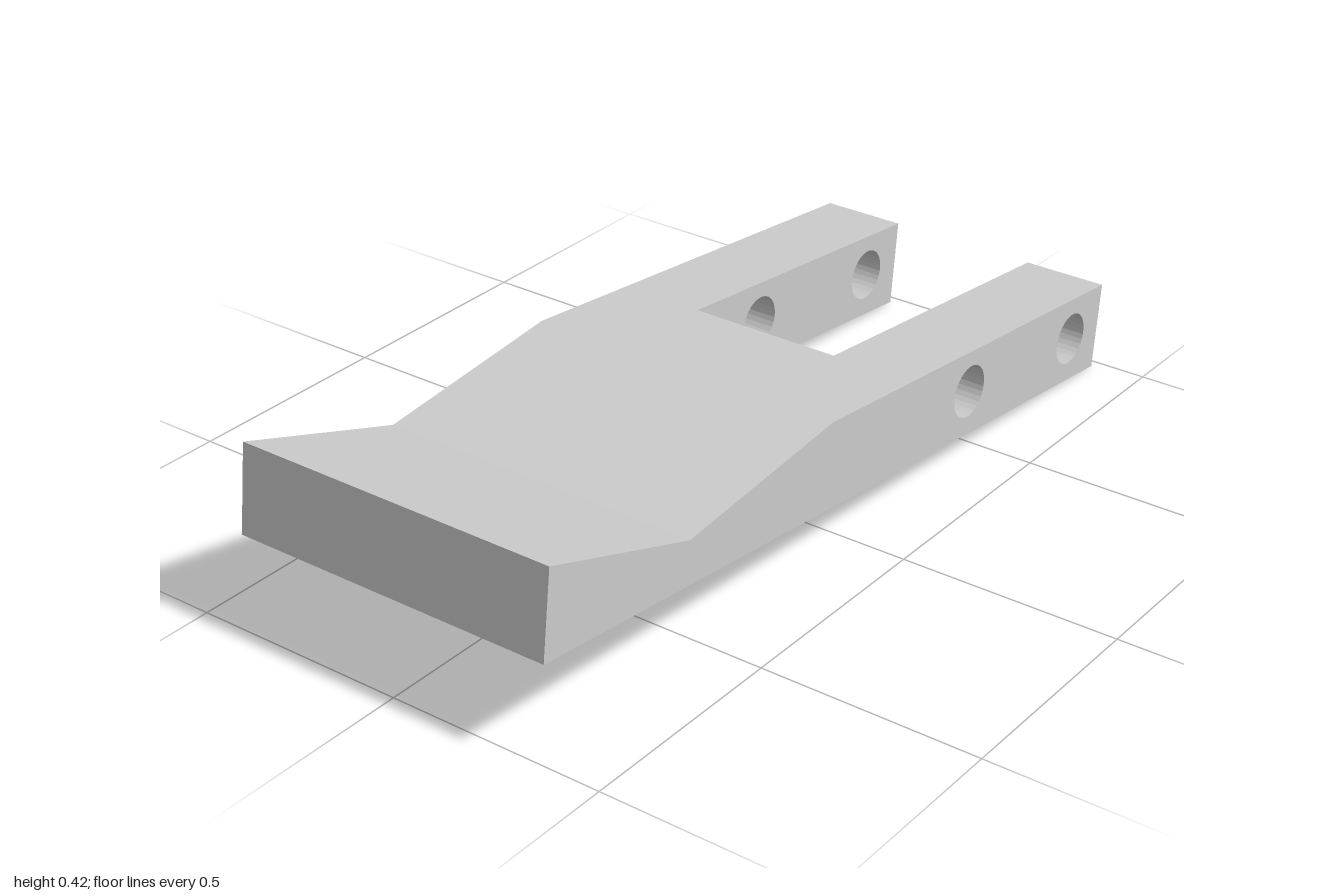
import * as THREE from 'three';

const P = (x, y) => new THREE.Vector2(x, y);
const HALF = 0.378, SLOT = 0.18; // half width of the plate and of the slot
const HOLE_R = 0.06, HOLE_SIDES = 32;

// Side profile, counter-clockwise seen from +z
const tailLow = P(-1, 0.225), slotLow = P(0.178, 0.091), tipLow = P(0.976, 0);
const tipTop = P(1, 0.2), slotTop = P(0.201, 0.288), crest = P(-0.09, 0.32);
const valley = P(-0.565, 0.275), tailTop = P(-0.976, 0.42);

// Pin holes through both arms
const holes = [P(0.433, 0.166), P(0.866, 0.116)].map(c =>
  Array.from({ length: HOLE_SIDES }, (_, i) => {
    const a = -i / HOLE_SIDES * Math.PI * 2;
    return P(c.x + HOLE_R * Math.cos(a), c.y + HOLE_R * Math.sin(a));
  }));

function toGeometry(positions) {
  const g = new THREE.BufferGeometry();
  g.setAttribute('position', new THREE.Float32BufferAttribute(positions, 3));
  g.computeVertexNormals();
  return g;
}

// Walls along a line of profile points, spanning z0 to z1
function addWalls(out, points, z0, z1) {
  for (let i = 0; i + 1 < points.length; i++) {
    const a = points[i], b = points[i + 1];
    out.push(a.x, a.y, z1, a.x, a.y, z0, b.x, b.y, z0);
    out.push(a.x, a.y, z1, b.x, b.y, z0, b.x, b.y, z1);
  }
}

// Flat pierced face at depth z, facing +z or -z
function addFace(out, points, z, facing) {
  const shape = new THREE.Shape(points);
  shape.holes = holes.map(h => new THREE.Path(h));
  const g = new THREE.ShapeGeometry(shape).toNonIndexed();
  const p = g.attributes.position;
  for (let i = 0; i < p.count; i += 3) {
    const order = facing > 0 ? [0, 1, 2] : [0, 2, 1];
    for (const k of order) out.push(p.getX(i + k), p.getY(i + k), z);
  }
}

export function createModel() {
  const group = new THREE.Group();
  group.name = 'forkedLever';
  const material = new THREE.MeshStandardMaterial({ color: 0xcccccc, flatShading: true });
  const body = [], bores = [];

  // Full-width rear plate and the end of the slot
  addWalls(body, [slotTop, crest, valley, tailTop, tailLow, slotLow], -HALF, HALF);
  addWalls(body, [slotLow, slotTop], -SLOT, SLOT);

  const profile = [tailLow, slotLow, tipLow, tipTop, slotTop, crest, valley, tailTop];
  const arm = [slotLow, tipLow, tipTop, slotTop];
  for (const s of [1, -1]) {
    const z0 = s > 0 ? SLOT : -HALF, z1 = s > 0 ? HALF : -SLOT;
    // Fork arm, its outer and inner faces
    addWalls(body, arm, z0, z1);
    addFace(body, profile, s * HALF, s);
    addFace(body, arm, s * SLOT, -s);
    // Pin hole linings
    for (const h of holes) addWalls(bores, [...h, h[0]], z0, z1);
  }

  for (const [name, positions] of [['forkedPlate', body], ['pinHoles', bores]]) {
    const mesh = new THREE.Mesh(toGeometry(positions), material);
    mesh.name = name;
    group.add(mesh);
  }
  return group;
}
